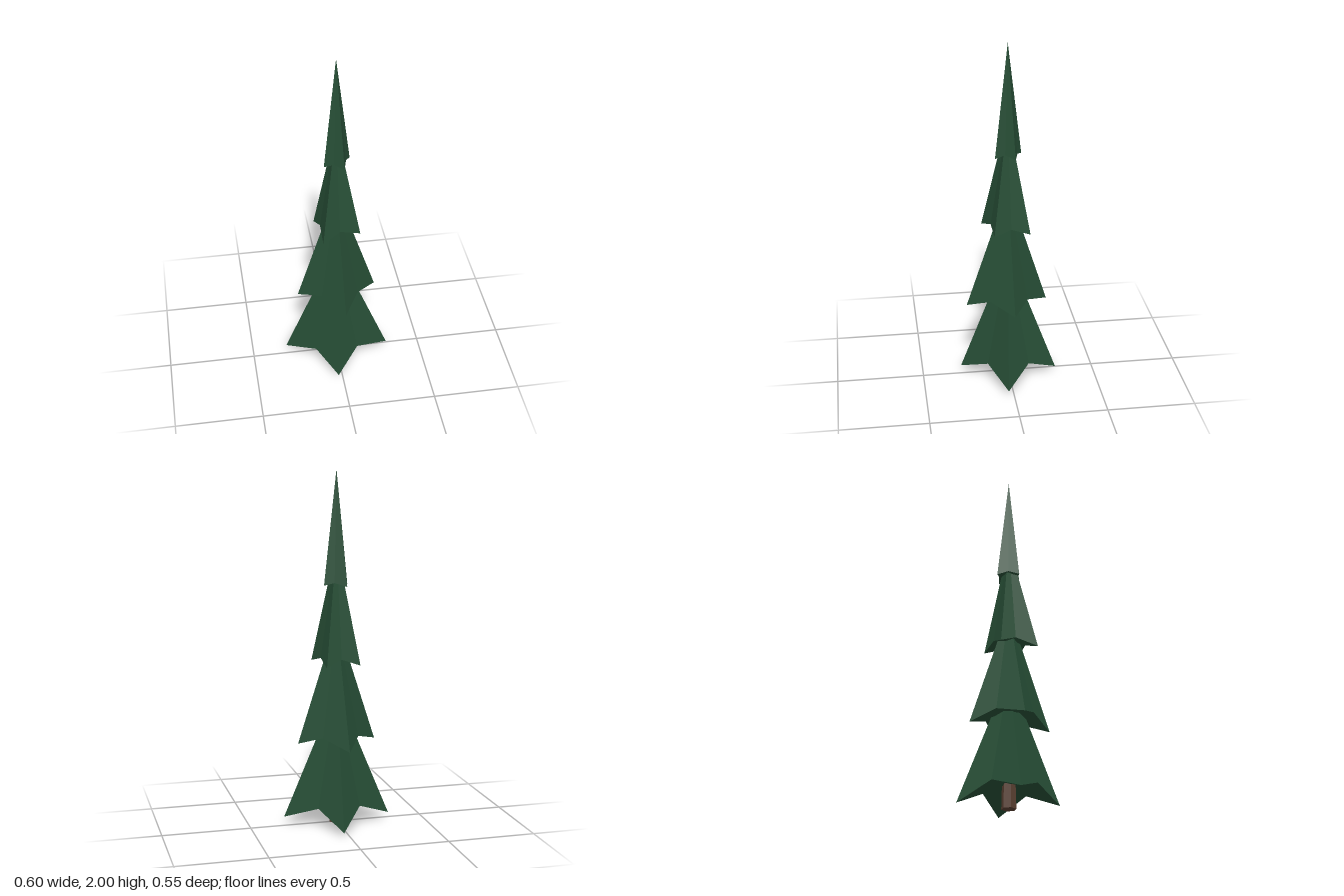
import * as THREE from 'three';

const needles = new THREE.MeshStandardMaterial({ color: 0x264d35, flatShading: true });
needles.name = 'needleGreen';
const bark = new THREE.MeshStandardMaterial({ color: 0x5a4032, flatShading: true });
bark.name = 'barkBrown';

// Each tier: apex height, underside centre height, and a rim of alternating tips and notches,
// listed as [x, y, z] going round from +x towards +z
const tiers = [
  { name: 'bottomBranches', apex: 0.77, under: 0.14, rim: [
    [0.30, 0.04, 0.033], [0.107, 0.115, 0.13], [-0.027, 0.035, 0.275], [-0.137, 0.115, 0.117],
    [-0.30, 0.037, -0.027], [-0.103, 0.12, -0.125], [0.03, 0.02, -0.278], [0.133, 0.115, -0.105]] },
  { name: 'lowerBranches', apex: 1.17, under: 0.54, rim: [
    [0.227, 0.475, -0.013], [0.108, 0.52, 0.112], [0.02, 0.463, 0.24], [-0.1, 0.52, 0.11],
    [-0.228, 0.473, 0.02], [-0.1, 0.52, -0.1], [-0.017, 0.46, -0.225], [0.105, 0.52, -0.1]] },
  { name: 'upperBranches', apex: 1.59, under: 0.97, rim: [
    [0.123, 0.93, 0.09], [0.008, 0.96, 0.098], [-0.093, 0.92, 0.14], [-0.093, 0.955, 0.012],
    [-0.117, 0.917, -0.08], [-0.006, 0.957, -0.09], [0.085, 0.917, -0.117], [0.093, 0.957, -0.008]] },
  { name: 'topBranches', apex: 2, under: 1.39, rim: [
    [0.08, 1.365, -0.033], [0.051, 1.385, 0.021], [0.035, 1.36, 0.075], [-0.02, 1.38, 0.05],
    [-0.073, 1.365, 0.04], [-0.05, 1.385, -0.018], [-0.04, 1.36, -0.08], [0.024, 1.38, -0.05]] },
];

// Star-shaped cone with a shallow hollow underside
function branchTier({ name, apex, under, rim }) {
  const points = [];
  rim.forEach((a, i) => {
    const b = rim[(i + 1) % rim.length];
    points.push([0, apex, 0], b, a, [0, under, 0], a, b);
  });
  const geometry = new THREE.BufferGeometry();
  geometry.setAttribute('position', new THREE.Float32BufferAttribute(points.flat(), 3));
  geometry.computeVertexNormals();
  const mesh = new THREE.Mesh(geometry, needles);
  mesh.name = name;
  return mesh;
}

export function createModel() {
  const tree = new THREE.Group();
  tree.name = 'pineTree';

  // Slightly tapering trunk, reaching up inside the lowest tier
  const trunk = new THREE.Mesh(new THREE.CylinderGeometry(0.03, 0.041, 0.4, 6), bark);
  trunk.name = 'trunk';
  trunk.position.y = 0.2;
  trunk.rotation.y = Math.PI / 6;
  tree.add(trunk);

  // Four stacked tiers of branches
  for (const tier of tiers) tree.add(branchTier(tier));
  return tree;
}
